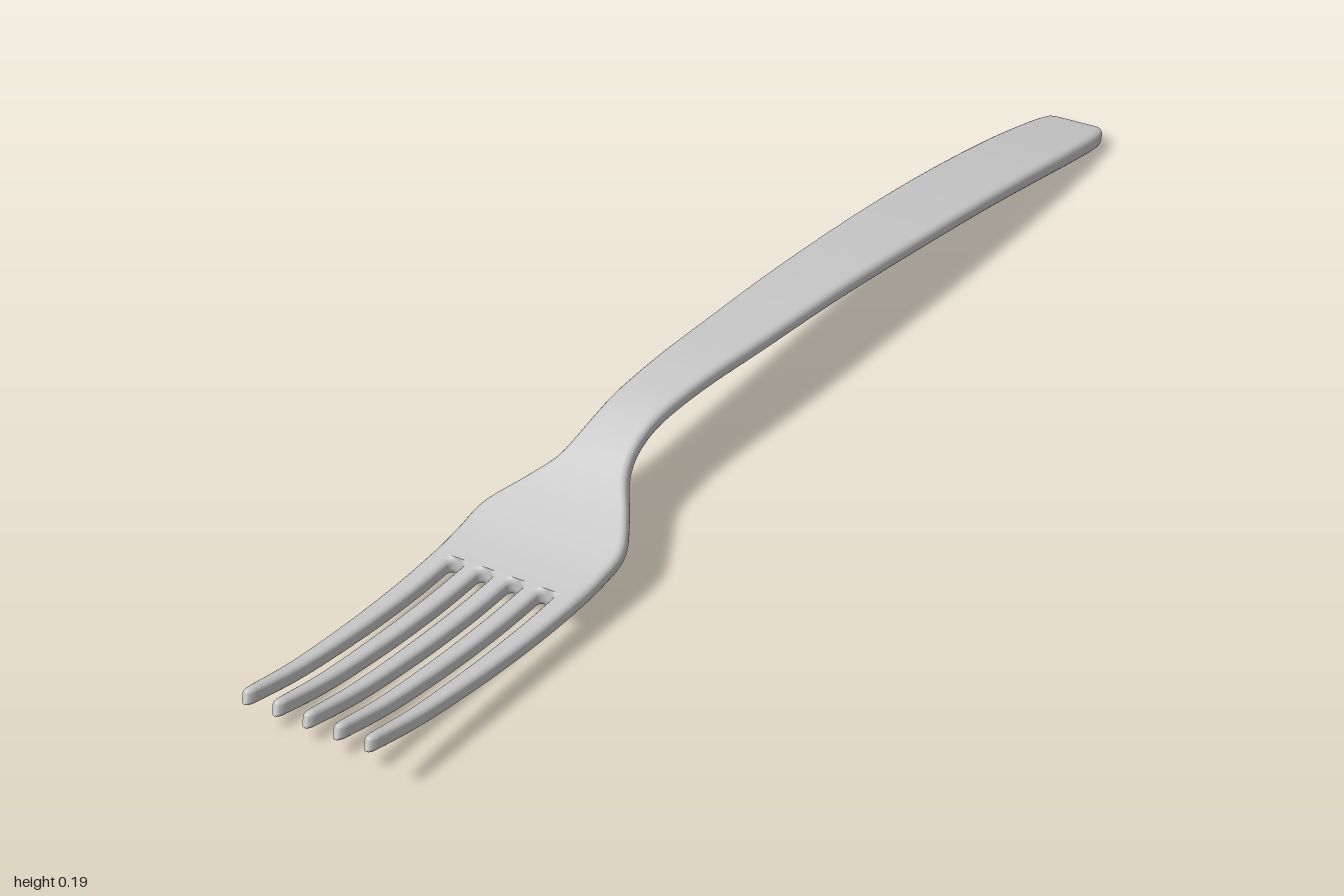
import * as THREE from 'three';

const ROLL = 0.11;         // the whole fork leans slightly about its length
const ROOT = -0.56;        // where the slots end
const PITCH = 0.0545;      // spacing of the tines
const MID = -0.0045;       // centre line of the head

// Height of the middle surface, then the two side edges, all as [x, value]
const SPINE = [[-1, 0.109], [-0.9, 0.087], [-0.8, 0.074], [-0.7, 0.066], [-0.6, 0.064], [-0.5, 0.071], [-0.4, 0.096],
  [-0.35, 0.117], [-0.3, 0.145], [-0.25, 0.162], [-0.2, 0.169], [-0.1, 0.171], [0, 0.166], [0.2, 0.152],
  [0.4, 0.13], [0.6, 0.102], [0.8, 0.066], [1, 0.022]];
const BACK = [[-0.56, -0.135], [-0.5, -0.137], [-0.44, -0.135], [-0.38, -0.104], [-0.33, -0.073], [-0.28, -0.063],
  [-0.2, -0.063], [0, -0.066], [0.2, -0.071], [0.5, -0.077], [0.8, -0.075], [0.95, -0.067], [1, -0.057]];
const FRONT = [[-0.56, 0.126], [-0.5, 0.127], [-0.44, 0.123], [-0.38, 0.086], [-0.33, 0.049], [-0.28, 0.035],
  [-0.2, 0.034], [0, 0.047], [0.2, 0.055], [0.5, 0.064], [0.8, 0.066], [0.95, 0.06], [1, 0.051]];
const THICKNESS = [[-1, 0.028], [-0.6, 0.031], [-0.35, 0.032], [-0.1, 0.031], [0.5, 0.03], [1, 0.034]];

// Smooth cubic through a list of [x, value] points
function smooth(pts, x) {
  const n = pts.length;
  let i = 0;
  while (i < n - 2 && x > pts[i + 1][0]) i++;
  const slope = (k) => {
    const a = pts[Math.max(k - 1, 0)], b = pts[Math.min(k + 1, n - 1)];
    return (b[1] - a[1]) / (b[0] - a[0]);
  };
  const [x0, y0] = pts[i], [x1, y1] = pts[i + 1];
  const h = x1 - x0, t = (x - x0) / h, t2 = t * t, t3 = t2 * t;
  return (2 * t3 - 3 * t2 + 1) * y0 + (t3 - 2 * t2 + t) * h * slope(i)
    + (3 * t2 - 2 * t3) * y1 + (t3 - t2) * h * slope(i + 1);
}

// Quarter-circle falloff: 1 at u <= 0, 0 at u >= 1
function roundOff(u) {
  const c = Math.min(Math.max(u, 0), 1);
  return Math.sqrt(1 - c * c);
}

// Rounded-rectangle outline in (z, thickness)
function ring(z0, z1, t, radius) {
  const w = (z1 - z0) / 2, c = (z0 + z1) / 2, r = Math.min(radius, w * 0.95, t * 0.48);
  const out = [];
  for (let q = 0; q < 4; q++) {
    const sx = q === 0 || q === 3 ? 1 : -1, sy = q < 2 ? 1 : -1;
    for (let k = 0; k <= 5; k++) {
      const a = (q + k / 5) * Math.PI / 2;
      out.push([c + sx * (w - r) + r * Math.cos(a), sy * (t / 2 - r) + r * Math.sin(a)]);
    }
  }
  return out;
}

// Skin over cross-sections { x, z0, z1, t, r } in rising x, bent along the spine
function loft(sections) {
  const pos = [], index = [];
  const rings = sections.map(({ x, z0, z1, t, r }) => {
    const e = 0.006, a = Math.max(x - e, -1), b = Math.min(x + e, 1);
    const s = (smooth(SPINE, b) - smooth(SPINE, a)) / (b - a);
    const len = Math.hypot(1, s), y = smooth(SPINE, x);
    return ring(z0, z1, t, r).map(([z, v]) => [x - v * s / len, y + v / len + ROLL * z, z]);
  });
  const m = rings[0].length, last = rings.length - 1;
  rings.forEach((p) => p.forEach((v) => pos.push(...v)));
  for (let i = 0; i < last; i++) {
    for (let j = 0; j < m; j++) {
      const a = i * m + j, b = i * m + (j + 1) % m;
      index.push(a, a + m, b, b, a + m, b + m);
    }
  }
  // end caps
  for (const [p, flip] of [[rings[0], false], [rings[last], true]]) {
    const base = pos.length / 3;
    p.forEach((v) => pos.push(...v));
    for (let j = 1; j < m - 1; j++) {
      index.push(base, base + (flip ? j + 1 : j), base + (flip ? j : j + 1));
    }
  }
  const g = new THREE.BufferGeometry();
  g.setAttribute('position', new THREE.Float32BufferAttribute(pos, 3));
  g.setIndex(index);
  g.computeVertexNormals();
  return g;
}

// Handle, neck and palm in one sweep, with a softened butt end
function bodySections() {
  const xs = [];
  for (let i = 0; i <= 110; i++) xs.push(ROOT + (0.98 - ROOT) * i / 110);
  for (let k = 1; k <= 6; k++) xs.push(0.98 + 0.02 * Math.sin(k / 6 * Math.PI / 2));
  return xs.map((x) => {
    const inset = 0.012 * (1 - roundOff((x - 0.98) / 0.02));
    return {
      x, z0: smooth(BACK, x) + inset, z1: smooth(FRONT, x) - inset,
      t: smooth(THICKNESS, x) - 1.2 * inset, r: 0.012,
    };
  });
}

// One tapering tine; sides facing a slot flare into its rounded end
function tineSections(i) {
  const c = MID + (i - 2) * PITCH, r = 0.0125;
  const offsets = [];
  for (let k = 0; k <= 8; k++) offsets.push(r * (1 - Math.cos(k / 8 * Math.PI / 2)));
  for (let k = 1; k <= 26; k++) offsets.push(r + (0.425 - r) * k / 26);
  for (let k = 1; k <= 7; k++) offsets.push(0.425 + 0.015 * Math.sin(k / 7 * Math.PI / 2));
  return offsets.map((d) => {
    const s = d / 0.44, x = ROOT - d;
    const tip = 0.35 + 0.65 * roundOff((d - 0.425) / 0.015);
    const half = PITCH / 2 - r - 0.0065 * s * s;
    const flare = r * (1 - roundOff(1 - d / r));
    const outer = half + 0.0067 * (1 - s) ** 2;
    const side = (isOuter) => (isOuter ? outer : half + flare) * tip;
    return {
      x, z0: c - side(i === 0), z1: c + side(i === 4),
      t: smooth(THICKNESS, x) * (0.5 + 0.5 * tip), r: 0.011 - 0.003 * s,
    };
  }).reverse();
}

export function createModel() {
  const fork = new THREE.Group();
  fork.name = 'fork';
  const metal = new THREE.MeshStandardMaterial({ color: 0xcccccc });
  const add = (name, sections) => {
    const mesh = new THREE.Mesh(loft(sections), metal);
    mesh.name = name;
    fork.add(mesh);
  };
  add('handleAndPalm', bodySections());
  for (let i = 0; i < 5; i++) add(`tine${i + 1}`, tineSections(i));
  return fork;
}
